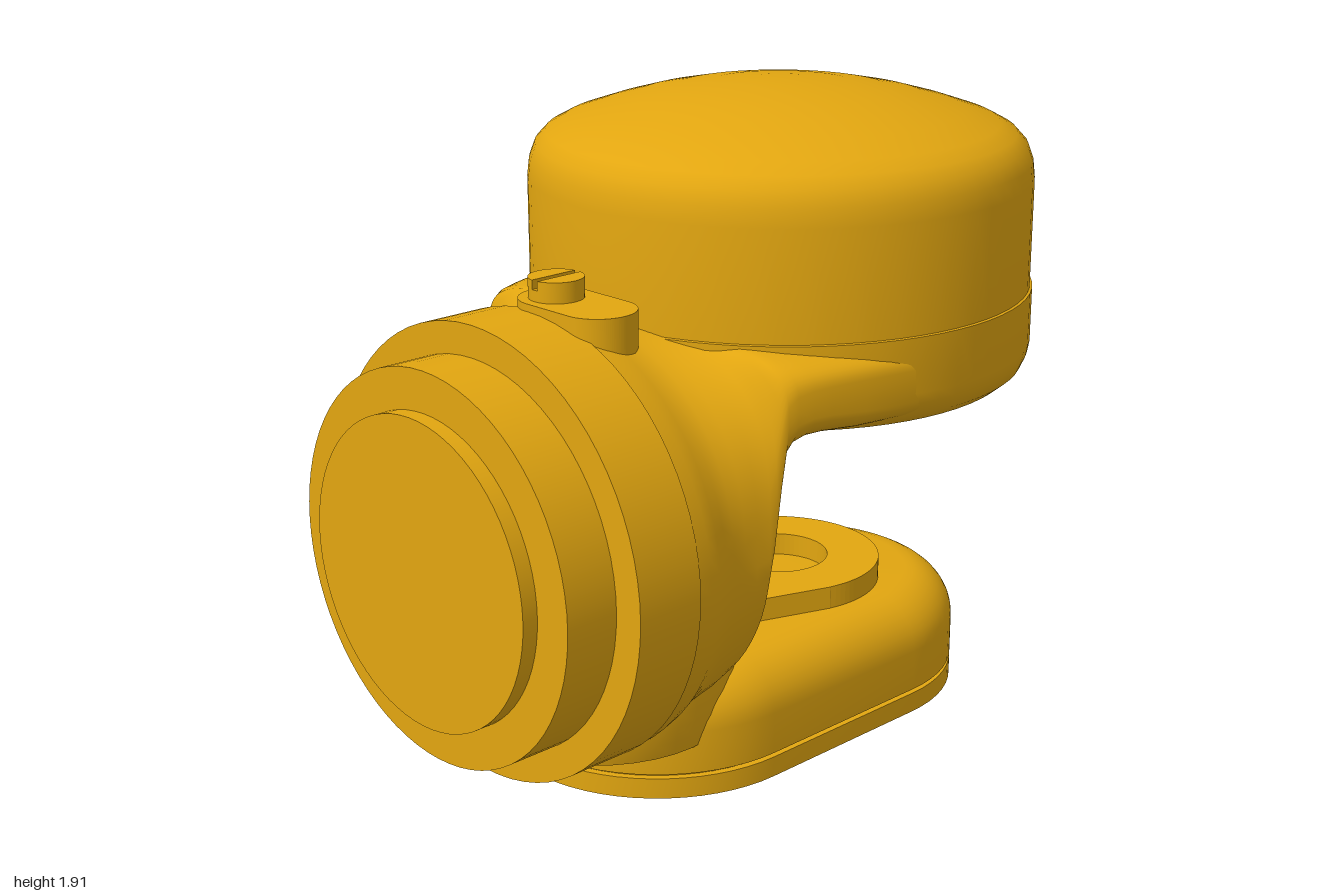
import * as THREE from 'three';
import { toCreasedNormals } from 'three/addons/utils/BufferGeometryUtils.js';

const material = new THREE.MeshStandardMaterial({ color: 0xe2a610 });
const AXIS_Y = 0.815; // height of the round front flange axis
const HEAD_Z = -0.3;  // depth of the vertical joint axis

export function createModel() {
  const model = new THREE.Group();
  model.name = 'roboticWrist';

  const add = (name, geometry, x = 0, y = 0, z = 0) => {
    const mesh = new THREE.Mesh(geometry, material);
    mesh.name = name;
    mesh.position.set(x, y, z);
    model.add(mesh);
  };

  // Skin over rings of equal length, closed at both ends
  const loft = (rings, crease = 0.6) => {
    const n = rings[0].length;
    const points = rings.flat();
    const index = [];
    for (let i = 0; i < rings.length - 1; i++) {
      for (let j = 0; j < n; j++) {
        const a = i * n + j, b = i * n + (j + 1) % n;
        index.push(a, b, b + n, a, b + n, a + n);
      }
    }
    [0, rings.length - 1].forEach((r, end) => {
      const center = new THREE.Vector3();
      rings[r].forEach((p) => center.addScaledVector(p, 1 / n));
      const c = points.push(center) - 1;
      for (let j = 0; j < n; j++) {
        const a = r * n + j, b = r * n + (j + 1) % n;
        index.push(c, ...(end ? [a, b] : [b, a]));
      }
    });
    const geometry = new THREE.BufferGeometry().setFromPoints(points);
    geometry.setIndex(index);
    return toCreasedNormals(geometry, crease);
  };

  // Horizontal plate from a shape drawn in x and -z
  const plate = (shape, height) =>
    new THREE.ExtrudeGeometry(shape, { depth: height, bevelEnabled: false, curveSegments: 32 }).rotateX(-Math.PI / 2);

  // Round head with a domed lid
  const headProfile = [
    [0, 1.1], [0.62, 1.1], [0.655, 1.11], [0.685, 1.135], [0.7, 1.17], [0.705, 1.2],
    [0.705, 1.35], [0.698, 1.352], [0.698, 1.65], [0.692, 1.7], [0.676, 1.742], [0.647, 1.773],
    [0.6, 1.798], [0.5, 1.832], [0.4, 1.86], [0.3, 1.881], [0.2, 1.895], [0.1, 1.903], [0, 1.906],
  ].map(([r, y]) => new THREE.Vector2(r, y));
  add('head', toCreasedNormals(new THREE.LatheGeometry(headProfile, 72), 0.6), 0, 0, HEAD_Z);
  add('headUndersidePlate', new THREE.CylinderGeometry(0.53, 0.53, 0.04, 64), 0, 1.095, HEAD_Z);
  add('headBoss', new THREE.CylinderGeometry(0.295, 0.295, 0.08, 48), 0, 1.06, HEAD_Z);

  // Stepped front flange: radius, back, front
  [
    ['flangeCollar', 0.61, 0.6, 0.8],
    ['flangeStep', 0.525, 0.78, 0.955],
    ['flangeFace', 0.415, 0.94, 1.0],
  ].forEach(([name, r, back, front]) => {
    const disc = new THREE.CylinderGeometry(r, r, front - back, 72).rotateX(Math.PI / 2);
    add(name, disc, 0, AXIS_Y, (front + back) / 2);
  });

  // Body turning from the round flange into the flat arm under the head
  // Each section: z, half width, top, bottom, squareness above, squareness below
  const sections = [
    [0.625, 0.608, 1.423, 0.207, 2, 2], [0.56, 0.607, 1.415, 0.212, 2, 2], [0.52, 0.598, 1.405, 0.222, 2, 2],
    [0.48, 0.58, 1.394, 0.235, 2.05, 2], [0.44, 0.568, 1.384, 0.248, 2.2, 2], [0.4, 0.565, 1.375, 0.26, 2.45, 2],
    [0.36, 0.568, 1.367, 0.275, 2.8, 2], [0.32, 0.574, 1.361, 0.3, 3.3, 2], [0.303, 0.579, 1.358, 0.52, 3.5, 2.3],
    [0.287, 0.583, 1.356, 0.8, 3.7, 2.7], [0.272, 0.587, 1.355, 1.0, 3.8, 3.2], [0.245, 0.595, 1.353, 1.065, 3.9, 3.6],
    [0.2, 0.609, 1.35, 1.095, 4, 4], [0.15, 0.623, 1.348, 1.103, 4.2, 4.3], [0.05, 0.648, 1.344, 1.105, 4.6, 5],
    [-0.08, 0.675, 1.338, 1.105, 5, 5], [-0.25, 0.69, 1.33, 1.105, 5, 5],
  ];
  const power = (v, n) => Math.sign(v) * Math.abs(v) ** (2 / n);
  add('bodyAndUpperArm', loft(sections.map(([z, w, top, bottom, above, below]) =>
    Array.from({ length: 80 }, (_, i) => {
      const a = (i / 80) * Math.PI * 2;
      const n = i < 40 ? above : below;
      const y = (top + bottom) / 2 + power(Math.sin(a), n) * (top - bottom) / 2;
      return new THREE.Vector3(-w * power(Math.cos(a), n), y, z);
    })), 0.9));

  // Rounded bulge joining the body to the lower arm
  const bulge = new THREE.SphereGeometry(1, 40, 24, 0, Math.PI * 2, 0, Math.PI * 0.6).scale(0.41, 0.54, 0.39);
  add('bodyBulge', bulge, 0, 0.44, 0.42);

  // Lower arm outline: long rounded slot, optionally inset and scaled
  const ARM_MID = -0.118, ARM_HALF = 0.287, ARM_R = 0.45;
  const armRing = (y, inset = 0, scale = 1) => Array.from({ length: 64 }, (_, i) => {
    const a = ((i % 32) / 31) * Math.PI + (i < 32 ? 0 : Math.PI);
    const r = ARM_R - inset;
    const end = i < 32 ? -ARM_HALF : ARM_HALF;
    return new THREE.Vector3(Math.cos(a) * r * scale, y, ARM_MID + (end - Math.sin(a) * r) * scale);
  });

  // Lower arm with a rounded upper edge
  const armRings = [armRing(0.165, 0.02), armRing(0.192, 0.02), armRing(0.192)];
  for (let i = 0; i <= 8; i++) {
    const a = (i / 8) * Math.PI / 2;
    armRings.push(armRing(0.31 + 0.14 * Math.sin(a), 0.14 * (1 - Math.cos(a))));
  }
  add('lowerArm', loft(armRings));

  // Bowed cover beneath the lower arm
  const coverRings = [];
  for (let i = 1; i <= 10; i++) coverRings.push(armRing(0.122 * (i / 10) ** 2.3, 0, i / 10));
  coverRings.push(armRing(0.18));
  add('lowerCover', loft(coverRings, 0.5));

  // Pivot pad with a round socket
  const pad = new THREE.Shape();
  pad.moveTo(0.18, -0.385);
  pad.lineTo(0.29, -0.08);
  pad.absarc(0, 0, 0.3, -0.26, Math.PI + 0.26, false);
  pad.lineTo(-0.18, -0.385);
  pad.closePath();
  pad.holes.push(new THREE.Path().absarc(0, 0, 0.15, 0, Math.PI * 2, true));
  add('pivotPad', plate(pad, 0.085), 0, 0.43, HEAD_Z);

  // Oblong lug on top of the body
  const lug = new THREE.Shape();
  lug.absarc(0.16, 0, 0.1, -Math.PI / 2, Math.PI / 2, false);
  lug.absarc(0, 0, 0.1, Math.PI / 2, Math.PI * 1.5, false);
  add('topLug', plate(lug, 0.11), 0, 1.335, 0.52);

  // Slotted screws: a core disc and two half discs either side of the slot
  const addScrew = (name, r, x, y, z, tilt) => {
    const screw = new THREE.Group();
    screw.name = name;
    const core = new THREE.Mesh(new THREE.CylinderGeometry(r, r, 0.06, 32), material);
    core.name = 'screwCore';
    screw.add(core);
    for (const side of [0, Math.PI]) {
      const half = new THREE.Shape();
      half.absarc(0, 0, r, -Math.PI / 2 + 0.14, Math.PI / 2 - 0.14, false);
      const mesh = new THREE.Mesh(plate(half, 0.025), material);
      mesh.name = 'screwHalf';
      mesh.position.y = 0.03;
      mesh.rotation.y = side;
      screw.add(mesh);
    }
    screw.position.set(x, y, z);
    screw.rotation.x = tilt;
    model.add(screw);
  };
  addScrew('topScrew', 0.073, 0, 1.445, 0.52, 0);
  addScrew('coverScrew', 0.07, 0.03, 0.123, -0.706, Math.PI + 0.28);

  return model;
}
